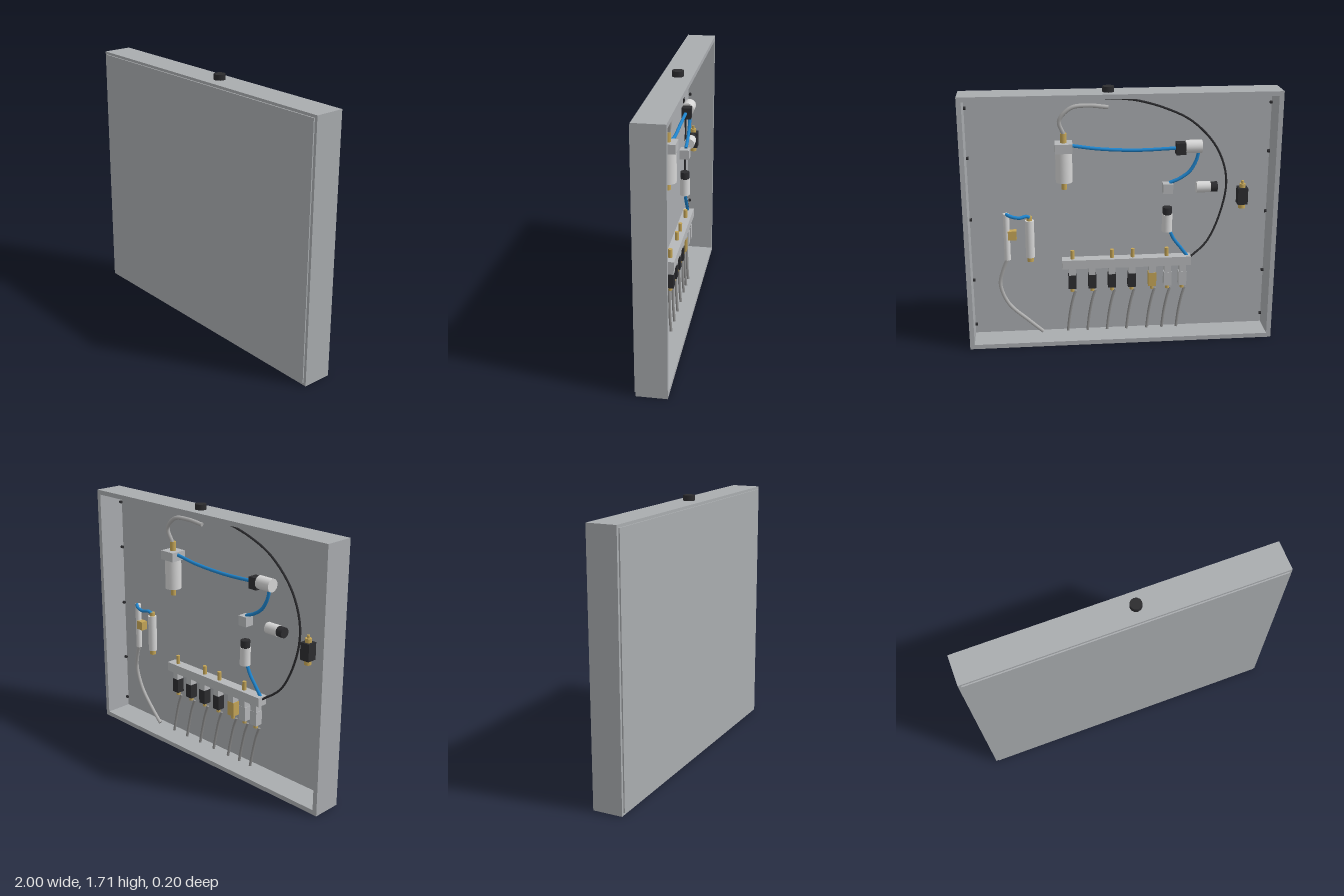
import * as THREE from 'three';

const mat = (name, color) => {
  const m = new THREE.MeshStandardMaterial({ color });
  m.name = name;
  return m;
};

export function createModel() {
  const root = new THREE.Group();
  root.name = 'controlCabinet';
  const steel = mat('cabinetGrey', 0xa9acaf);
  const black = mat('black', 0x2c2c2f);
  const brass = mat('brass', 0xc4a557);
  const blue = mat('tubeBlue', 0x1f84cc);
  const white = mat('canisterWhite', 0xd6d6d6);
  const alloy = mat('alloyGrey', 0xb6b8ba);
  const hose = mat('hoseGrey', 0xaeaeae);
  const line = mat('outletTubeGrey', 0x8c8c8c);

  const add = (name, geo, m, x = 0, y = 0, z = 0) => {
    const mesh = new THREE.Mesh(geo, m);
    mesh.name = name;
    mesh.position.set(x, y, z);
    root.add(mesh);
    return mesh;
  };
  const box = (name, m, w, h, d, x, y, z) =>
    add(name, new THREE.BoxGeometry(w, h, d), m, x, y, z);
  // upright cylinder from y0 to y1
  const post = (name, m, r, y0, y1, x, z, sides = 24) =>
    add(name, new THREE.CylinderGeometry(r, r, y1 - y0, sides), m, x, (y0 + y1) / 2, z);
  // cylinder lying along x from x0 to x1
  const barrel = (name, m, r, x0, x1, y, z) => {
    const mesh = add(name, new THREE.CylinderGeometry(r, r, Math.abs(x1 - x0), 24), m, (x0 + x1) / 2, y, z);
    mesh.rotation.z = Math.PI / 2;
    return mesh;
  };
  // capped tube through a few points
  const tube = (name, m, r, pts) => {
    const v = pts.map(p => new THREE.Vector3(...p));
    const curve = new THREE.CatmullRomCurve3(v);
    add(name, new THREE.TubeGeometry(curve, 40, r, 10), m);
    for (const t of [0, 1]) {
      const cap = add(name + 'End', new THREE.CircleGeometry(r, 10), m);
      const p = curve.getPoint(t);
      cap.position.copy(p);
      cap.lookAt(p.clone().addScaledVector(curve.getTangent(t), t ? 1 : -1));
    }
  };

  // cabinet: open-backed frame and front panel
  const H = 1.675, T = 0.03;
  const outline = new THREE.Shape();
  outline.moveTo(-1, 0).lineTo(1, 0).lineTo(1, H).lineTo(-1, H).closePath();
  const opening = new THREE.Path();
  opening.moveTo(-1 + T, T).lineTo(-1 + T, H - T).lineTo(1 - T, H - T).lineTo(1 - T, T).closePath();
  outline.holes.push(opening);
  add('cabinetFrame', new THREE.ExtrudeGeometry(outline, { depth: 0.192, bevelEnabled: false }), steel, 0, 0, -0.1);
  box('frontPanel', steel, 1.964, 1.64, 0.015, 0, H / 2, 0.0925);

  // panel screws on both inner side walls
  for (const s of [-1, 1])
    for (const y of [0.1, 0.42, 0.84, 1.25, 1.57])
      barrel('panelScrew', black, 0.01, s * 0.955, s * 0.972, y, 0.07);

  // cable gland through the roof
  post('cableGland', black, 0.037, H, 1.71, 0.08, -0.01, 12);
  post('cableGlandInner', black, 0.02, 1.625, 1.65, 0.08, -0.01, 12);

  // air filter
  post('filterInlet', brass, 0.02, 1.35, 1.415, 0.36, 0.005);
  box('filterHead', alloy, 0.11, 0.06, 0.11, 0.36, 1.325, 0.005);
  post('filterBowl', white, 0.053, 1.1, 1.3, 0.36, 0.005);
  post('filterDrain', brass, 0.017, 1.05, 1.1, 0.36, 0.005);
  tube('inletHose', hose, 0.013, [[0.36, 1.41, 0], [0.385, 1.5, -0.015], [0.31, 1.58, -0.02], [0.2, 1.59, -0.01], [0.08, 1.575, 0]]);
  tube('supplyTube', blue, 0.011, [[0.31, 1.335, 0], [0.14, 1.31, 0], [-0.1, 1.293, 0.01], [-0.36, 1.3, 0.01]]);

  // pressure regulator and elbow block
  box('regulatorBlock', black, 0.062, 0.075, 0.062, -0.38, 1.3, 0.005);
  barrel('regulatorBody', white, 0.042, -0.41, -0.515, 1.31, 0.005);
  tube('regulatorTube', blue, 0.011, [[-0.495, 1.28, 0], [-0.48, 1.22, 0], [-0.44, 1.15, 0], [-0.38, 1.105, 0], [-0.31, 1.075, 0]]);
  box('elbowBlock', alloy, 0.064, 0.064, 0.064, -0.3, 1.04, 0.005);

  // loose regulator and vertical regulator
  barrel('sideRegulatorBody', white, 0.036, -0.485, -0.575, 1.04, 0.005);
  barrel('sideRegulatorCap', black, 0.033, -0.575, -0.62, 1.04, 0.005);
  post('lowerRegulatorBody', white, 0.034, 0.745, 0.862, -0.3, 0.005);
  post('lowerRegulatorCap', black, 0.03, 0.862, 0.91, -0.3, 0.005);
  tube('manifoldTube', blue, 0.011, [[-0.315, 0.755, 0.005], [-0.345, 0.69, 0.005], [-0.39, 0.63, 0.005], [-0.435, 0.57, 0.005]]);

  // control cable from the gland to the manifold
  tube('controlCable', black, 0.007, [[0.08, 1.63, -0.01], [-0.08, 1.61, 0.04], [-0.28, 1.55, 0.06], [-0.46, 1.46, 0.06],
    [-0.62, 1.287, 0.06], [-0.69, 1.08, 0.06], [-0.665, 0.87, 0.06], [-0.57, 0.65, 0.04], [-0.45, 0.555, 0]]);

  // pressure switch
  box('switchBody', black, 0.065, 0.11, 0.065, -0.79, 0.97, 0.02);
  post('switchTopFitting', brass, 0.02, 1.025, 1.05, -0.79, 0.02);
  post('switchTopPin', brass, 0.009, 1.05, 1.07, -0.79, 0.02);
  post('switchBottomFitting', brass, 0.022, 0.885, 0.915, -0.79, 0.02);

  // manifold with inlet fittings and seven valves
  box('manifoldBar', alloy, 0.842, 0.06, 0.07, -0.036, 0.545, 0);
  for (const x of [0.317, 0.059, -0.077, -0.3]) post('manifoldFitting', brass, 0.013, 0.575, 0.632, x, 0);
  const valves = [[0.32, black], [0.19, black], [0.06, black], [-0.07, black], [-0.205, brass], [-0.307, alloy], [-0.405, alloy]];
  for (const [x, m] of valves) {
    box('valveNeck', alloy, 0.044, 0.06, 0.05, x, 0.488, 0);
    box('valveBody', m, 0.052, 0.095, 0.052, x, 0.418, 0);
    post('valveOutlet', brass, 0.013, 0.345, 0.372, x, 0);
    tube('outletTube', line, 0.009, [[x - 0.02, 0.345, 0.01], [x, 0.28, 0.005], [x + 0.02, 0.18, 0], [x + 0.035, 0.065, -0.01]]);
  }

  // flow tube with its bracket, hose and neighbouring canister
  post('flowTube', white, 0.02, 0.58, 0.895, 0.735, 0.01);
  box('flowTubeBracket', brass, 0.055, 0.06, 0.045, 0.7, 0.75, 0.01);
  tube('drainHose', hose, 0.012, [[0.735, 0.59, 0.01], [0.77, 0.5, 0.02], [0.79, 0.4, 0.03], [0.74, 0.26, 0.03], [0.61, 0.14, 0.01], [0.52, 0.06, 0.005]]);
  post('canister', white, 0.029, 0.595, 0.845, 0.588, 0.01);
  post('canisterTopFitting', brass, 0.018, 0.845, 0.872, 0.588, 0.01);
  post('canisterBottomFitting', brass, 0.021, 0.565, 0.595, 0.588, 0.01);
  tube('canisterTube', blue, 0.011, [[0.735, 0.895, 0], [0.705, 0.885, -0.02], [0.65, 0.875, -0.025], [0.605, 0.88, -0.01], [0.588, 0.865, 0.005]]);

  return root;
}
